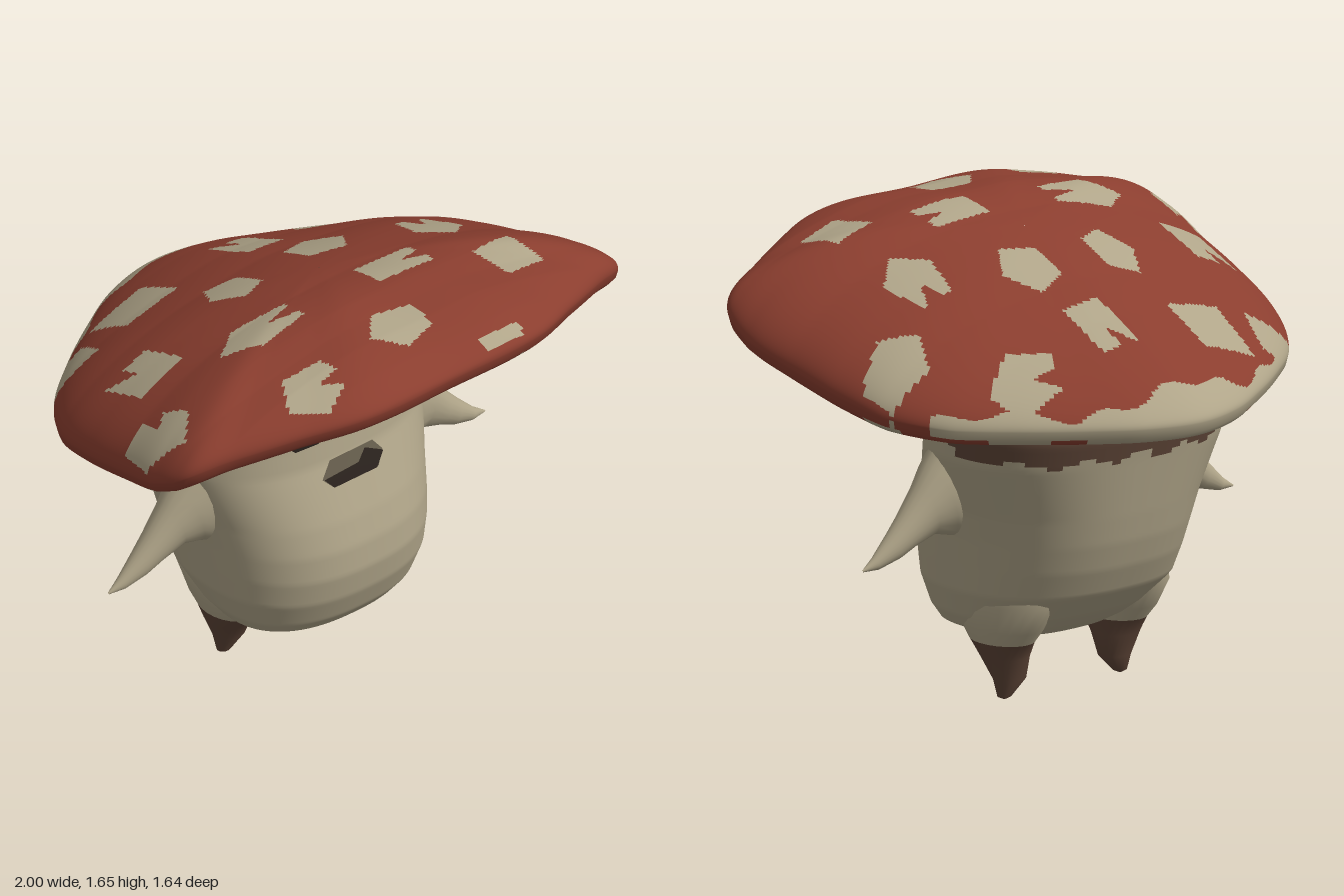
import * as THREE from 'three';

const colour = (name, hex, double = false) => {
  const m = new THREE.MeshStandardMaterial({ color: hex });
  m.name = name;
  if (double) m.side = THREE.DoubleSide;
  return m;
};

// Piecewise-linear lookup; rows are [key, value, value, ...] with rising keys
function lookup(rows, k) {
  let i = 0;
  while (i < rows.length - 2 && k > rows[i + 1][0]) i++;
  const [a, b] = [rows[i], rows[i + 1]];
  const t = THREE.MathUtils.clamp((k - a[0]) / (b[0] - a[0]), 0, 1);
  return a.slice(1).map((v, n) => v + (b[n + 1] - v) * t);
}

// Joins closed rings into a skin; pick(x, y, z, row) gives each quad its material index
function loft(name, rings, materials, pick) {
  const n = rings[0].length;
  const buckets = materials.map(() => []);
  for (let i = 0; i < rings.length - 1; i++) {
    for (let j = 0; j < n; j++) {
      const k = (j + 1) % n, a = i * n + j, b = i * n + k;
      const mid = [0, 1, 2].map(c => (rings[i][j][c] + rings[i][k][c] + rings[i + 1][j][c] + rings[i + 1][k][c]) / 4);
      buckets[pick(...mid, i)].push(a, a + n, b, b, a + n, b + n);
    }
  }
  const g = new THREE.BufferGeometry();
  g.setAttribute('position', new THREE.Float32BufferAttribute(rings.flat(2), 3));
  g.setIndex(buckets.flat());
  let start = 0;
  buckets.forEach((b, i) => { if (b.length) g.addGroup(start, b.length, i); start += b.length; });
  g.computeVertexNormals();
  const mesh = new THREE.Mesh(g, materials);
  mesh.name = name;
  return mesh;
}

const ring = (n, f) => Array.from({ length: n }, (_, j) => f((j / n) * Math.PI * 2));

// Body sections: height, half width, front z, back z
const BODY = [
  [0.195, 0.001, 0.001, -0.001], [0.2, 0.17, 0.17, -0.1], [0.215, 0.27, 0.23, -0.16], [0.25, 0.35, 0.29, -0.22],
  [0.3, 0.385, 0.33, -0.29], [0.4, 0.425, 0.37, -0.4], [0.5, 0.437, 0.385, -0.45], [0.6, 0.45, 0.375, -0.485],
  [0.7, 0.47, 0.345, -0.51], [0.9, 0.535, 0.262, -0.555], [1.0, 0.54, 0.248, -0.58], [1.1, 0.53, 0.26, -0.56],
  [1.2, 0.525, 0.272, -0.47], [1.3, 0.52, 0.29, -0.25], [1.45, 0.51, 0.33, 0],
];
const POWER = 2.4;
const bend = v => Math.sign(v) * Math.abs(v) ** (2 / POWER);
function bodyPoint(y, ang, scale = 1) {
  const [w, f, b] = lookup(BODY, y);
  return [w * bend(Math.cos(ang)) * scale, y, (f + b) / 2 + ((f - b) / 2) * bend(Math.sin(ang)) * scale];
}
function bodyFrontZ(x, y) {
  const [w, f, b] = lookup(BODY, y);
  return (f + b) / 2 + ((f - b) / 2) * (1 - Math.abs(x / w) ** POWER) ** (1 / POWER);
}

// Cap rim seen from above (one half, back to front); rim height and dome height along z
const RIM = [[0, -0.82], [0.2, -0.775], [0.4, -0.665], [0.6, -0.53], [0.78, -0.38], [0.9, -0.2], [0.95, 0],
  [0.975, 0.2], [1.0, 0.4], [0.965, 0.54], [0.8, 0.625], [0.6, 0.72], [0.38, 0.81], [0, 0.82]];
const CAP = [[-0.82, 1.08, 0.4], [-0.6, 1.09, 0.37], [-0.4, 1.1, 0.37], [-0.2, 1.13, 0.37], [0, 1.18, 0.378],
  [0.2, 1.235, 0.385], [0.4, 1.3, 0.412], [0.5, 1.35, 0.395], [0.6, 1.42, 0.36], [0.72, 1.475, 0.35], [0.82, 1.51, 0.35]];
const CENTRE_Z = 0.1, PUFF = 0.07;

// Pale patches: x, z, x radius, z radius, corners, turn, and direction of a notch if any
const SPOTS = [
  [-0.355, -0.46, 0.16, 0.14, 4, 0.78], [0.1, -0.41, 0.11, 0.15, 4, 0.78, -1.9],
  [0.48, -0.46, 0.15, 0.11, 5, 0.3, -2.6], [-0.67, -0.445, 0.14, 0.1, 4, -0.6],
  [0.8, -0.15, 0.13, 0.11, 5, 0.4], [-0.23, -0.09, 0.095, 0.12, 5, 3.14],
  [0.15, -0.09, 0.115, 0.12, 5, 0], [-0.7, 0, 0.13, 0.14, 4, 0.78, -2],
  [0.53, 0.06, 0.11, 0.14, 5, 1.57, -1.5], [-0.4, 0.265, 0.18, 0.1, 5, -0.6, 0],
  [0.17, 0.295, 0.17, 0.1, 4, 0.78, 0], [-0.9, 0.32, 0.1, 0.14, 5, 1.57, -0.9],
  [0.54, 0.46, 0.13, 0.115, 4, 0.6], [-0.05, 0.58, 0.13, 0.1, 5, 3.1],
  [-0.47, 0.63, 0.13, 0.11, 5, -0.8, 0.3], [0.24, 0.785, 0.12, 0.03, 4, 0.78],
];
function inSpot([cx, cz, rx, rz, corners, turn, notch], x, z) {
  const u = (x - cx) / rx, v = (z - cz) / rz;
  const r = Math.hypot(u, v), a = Math.atan2(v, u), step = (2 * Math.PI) / corners;
  const local = THREE.MathUtils.euclideanModulo(a - turn, step) - step / 2;
  if (r * Math.cos(local) > Math.cos(step / 2)) return false;
  // The notch is a wedge whose point lies near the middle of the patch
  return notch === undefined || r * Math.cos(a - notch) < 0.15 + 2.2 * r * Math.abs(Math.sin(a - notch));
}

function buildCap(materials) {
  const half = RIM.map(([x, z]) => new THREE.Vector3(x, 0, z));
  const mirrored = half.slice(1, -1).reverse().map(p => new THREE.Vector3(-p.x, 0, p.z));
  const rim = new THREE.CatmullRomCurve3([...half, ...mirrored], true, 'centripetal').getSpacedPoints(320).slice(0, 320);
  const rimY = z => lookup(CAP, z)[0];
  const at = (p, s) => [p.x * s, CENTRE_Z + (p.z - CENTRE_Z) * s];
  const rings = [];
  // Hollow underside, from the neck out to the lip
  const UNDER = 16, TOP = 110;
  for (let i = 0; i <= UNDER; i++) {
    const t = i / UNDER;
    rings.push(rim.map(p => {
      const ang = Math.atan2(p.z - CENTRE_Z, p.x), sn = Math.sin(ang);
      const neck = bodyPoint(1.1 + (sn > 0 ? 0.33 : 0.1) * sn, ang, 0.97);
      const [x, z] = at(p, 0.97);
      const lip = rimY(p.z) - 0.05;
      return [neck[0] + (x - neck[0]) * t, neck[1] + (lip - neck[1]) * t + 0.03 * Math.sin(Math.PI * t),
        neck[2] + (z - neck[2]) * t];
    }));
  }
  // Rounded lip, then the dome up to the crown
  rings.push(rim.map(p => { const [x, z] = at(p, 0.992); return [x, rimY(p.z) - 0.03, z]; }));
  for (let i = 0; i <= TOP; i++) {
    const s = Math.max(0.002, Math.cos((i / TOP) * Math.PI / 2));
    rings.push(rim.map(p => {
      const [x, z] = at(p, s);
      const [base, height] = lookup(CAP, z);
      const side = Math.abs(p.x) / Math.hypot(p.x, p.z - CENTRE_Z);
      const rise = 1 - s * s;
      return [x, base + PUFF * rise ** 0.3 + (height - PUFF) * rise ** (1 - 0.32 * side ** 2), z];
    }));
  }
  return loft('cap', rings, materials, (x, y, z, row) => {
    if (row < UNDER) return 2;
    // Pale band along the back edge
    const band = lookup([[0.25, -0.7], [0.4, -0.635], [0.6, -0.49], [0.8, -0.34]], Math.abs(x))[0];
    if (z < -0.34 && z < band + 0.015 * Math.sin(x * 25) - 0.01) return 1;
    return SPOTS.some(spot => inSpot(spot, x, z)) ? 1 : 0;
  });
}

// Thin plate laid over the front of the body
function facePlate(name, pts, material, lift) {
  const n = pts.length;
  const c = [0, 1].map(k => pts.reduce((s, p) => s + p[k], 0) / n);
  const g = new THREE.BufferGeometry();
  g.setAttribute('position', new THREE.Float32BufferAttribute(
    [c, ...pts].flatMap(([x, y]) => [x, y, bodyFrontZ(x, y) + lift]), 3));
  g.setIndex(pts.flatMap((_, i) => [0, 1 + i, 1 + (i + 1) % n]));
  g.computeVertexNormals();
  const mesh = new THREE.Mesh(g, material);
  mesh.name = name;
  return mesh;
}

export function createModel() {
  const red = colour('cap red', 0x8b3e2f);
  const cream = colour('cream', 0xb0a589);
  const brown = colour('brown', 0x5e4537);
  const dark = colour('dark hollow', 0x2a221d, true);
  const shade = colour('mouth lining', 0x655d4c, true);
  const skins = [red, cream, brown];
  const model = new THREE.Group();
  model.name = 'mushroomCreature';
  model.add(buildCap(skins));

  // Stout body with a red brow under the cap and a brown collar at the back
  const rows = Array.from({ length: 91 }, (_, i) => 0.195 + 1.25 * (i / 90) ** 1.4);
  model.add(loft('body', rows.map(y => ring(100, a => bodyPoint(y, a))), skins, (x, y, z) => {
    if (z > 0.1) return y > 1.19 ? 0 : 1;
    const edge = 0.92 + Math.max(0, (z + 0.17) * 0.95) + 0.012 * Math.sin(x * 30);
    return y > edge ? 2 : 1;
  }));

  // Arm stations: x, y, half height, half depth. Leg stations: y, x, z, half width, half depth
  const ARM = [[0.42, 0.745, 0.2, 0.12], [0.5, 0.735, 0.135, 0.095], [0.56, 0.71, 0.092, 0.072], [0.64, 0.65, 0.062, 0.055],
    [0.7, 0.605, 0.047, 0.043], [0.78, 0.558, 0.023, 0.023], [0.84, 0.54, 0.003, 0.003]];
  const LEG = [[0, 0.262, -0.095, 0.004, 0.004], [0.01, 0.262, -0.095, 0.026, 0.022], [0.07, 0.238, -0.095, 0.062, 0.05],
    [0.15, 0.25, -0.085, 0.085, 0.085], [0.21, 0.255, -0.075, 0.1, 0.13], [0.26, 0.258, -0.08, 0.115, 0.17],
    [0.36, 0.255, -0.09, 0.14, 0.22], [0.46, 0.23, -0.09, 0.12, 0.22]];
  const EYE = [[0.27, 1.03], [0.235, 1.06], [0.12, 1.07], [0.085, 1.04], [0.13, 0.99], [0.22, 0.985]];
  for (const [side, label] of [[1, 'left'], [-1, 'right']]) {
    model.add(loft(label + 'Arm', ARM.map(([x, y, h, d]) =>
      ring(20, a => [side * (x + 0.35 * h * Math.cos(a)), y + h * Math.cos(a), -0.02 - side * d * Math.sin(a)])),
    skins, () => 1));
    model.add(loft(label + 'Leg', LEG.map(([y, x, z, w, d]) =>
      ring(24, a => [side * x + w * Math.cos(a), y, z + d * Math.sin(a)])),
    skins, (x, y) => (y < 0.215 ? 2 : 1)));
    model.add(facePlate(label + 'Eye', EYE.map(([x, y]) => [side * x, y]), dark, 0.007));
  }

  // Mouth: shaded upper lining over a dark opening
  model.add(facePlate('mouthLining', [[0.135, 0.865], [0.1, 0.91], [-0.09, 0.91], [-0.135, 0.855], [-0.1, 0.82], [0.1, 0.82]], shade, 0.005));
  model.add(facePlate('mouthOpening', [[0.135, 0.862], [0.06, 0.9], [0.02, 0.865], [-0.13, 0.855], [-0.1, 0.82], [0.09, 0.82]], dark, 0.009));
  return model;
}
